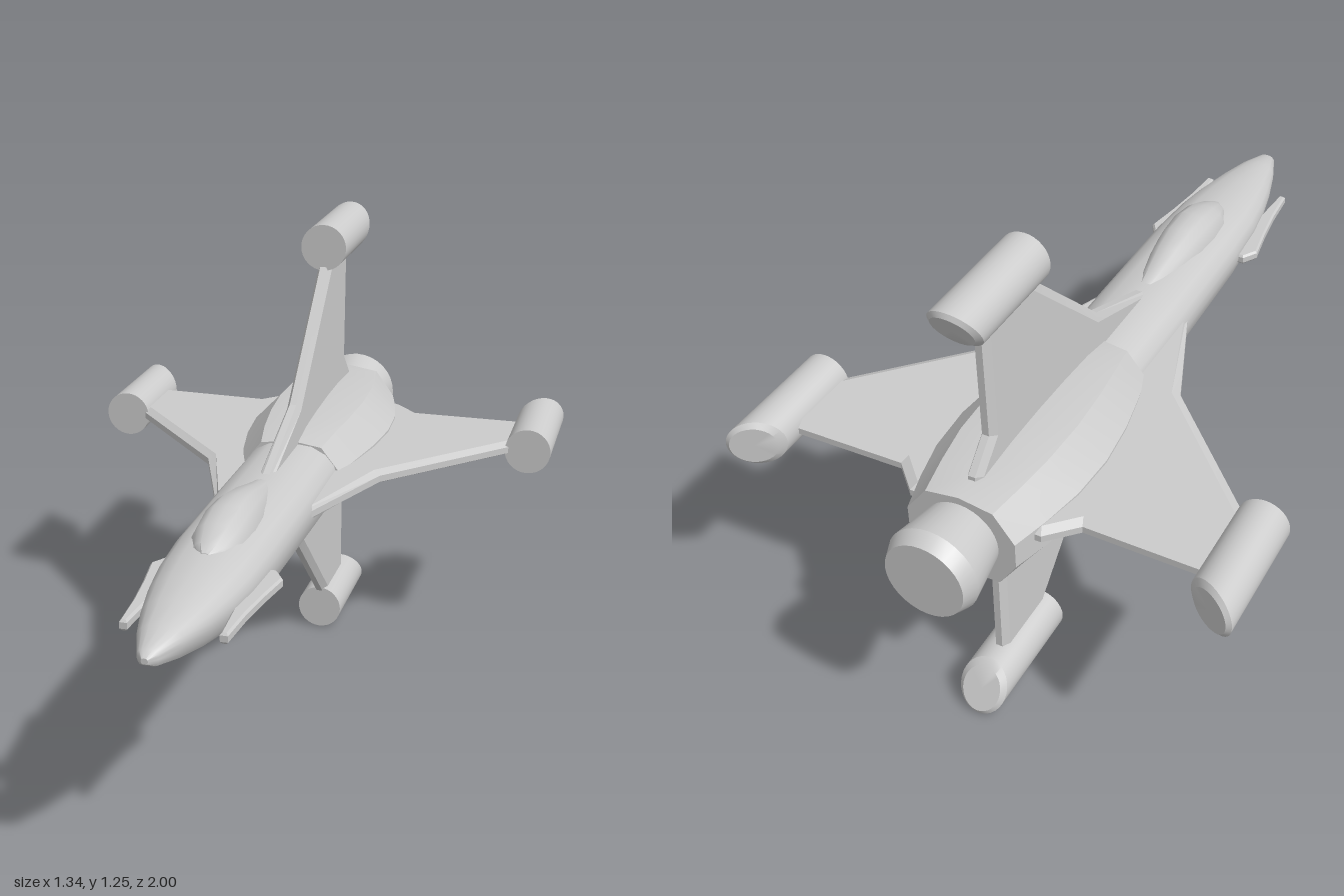
import * as THREE from 'three';
import { toCreasedNormals } from 'three/addons/utils/BufferGeometryUtils.js';

const material = new THREE.MeshStandardMaterial({ color: 0xcccccc });

function part(name, geometry, parent, crease = 0.5) {
  const mesh = new THREE.Mesh(toCreasedNormals(geometry, crease), material);
  mesh.name = name;
  parent.add(mesh);
  return mesh;
}

// Closed hull: half profile (bottom centre to top centre, unit size) swept
// through sections [z, halfWidth, top, bottom], listed front to back
function loft(half, sections) {
  const ring = [...half, ...half.slice(1, -1).reverse().map(([u, v]) => [-u, v])];
  const n = ring.length, pos = [], idx = [];
  for (const [z, w, top, bottom] of sections)
    for (const [u, v] of ring) pos.push(u * w, bottom + v * (top - bottom), z);
  for (let i = 0; i < sections.length - 1; i++)
    for (let j = 0; j < n; j++) {
      const a = i * n + j, b = i * n + (j + 1) % n;
      idx.push(a, a + n, b, b, a + n, b + n);
    }
  const last = (sections.length - 1) * n;
  for (let j = 1; j < n - 1; j++) idx.push(0, j, j + 1, last, last + j + 1, last + j);
  const g = new THREE.BufferGeometry();
  g.setAttribute('position', new THREE.Float32BufferAttribute(pos, 3));
  g.setIndex(idx);
  return g;
}

// Flat plate from an (x, z) outline with chamfered edges, centred on y = 0
function plate(outline, halfThickness, bevel, bevelThickness) {
  const shape = new THREE.Shape(outline.map(([x, z]) => new THREE.Vector2(x, z)));
  const depth = 2 * (halfThickness - bevelThickness);
  const g = new THREE.ExtrudeGeometry(shape, {
    depth, bevelEnabled: true, bevelSegments: 1,
    bevelSize: bevel, bevelOffset: -bevel, bevelThickness,
  });
  g.translate(0, 0, -depth / 2);
  return g.rotateX(Math.PI / 2);
}

// Turned solid along z: points are [radius, distance behind the front]
function turned(points, segments) {
  const g = new THREE.LatheGeometry(points.map(([r, d]) => new THREE.Vector2(r, d)), segments);
  return g.rotateX(-Math.PI / 2);
}

// Pod with a slanted rear end, longer on its outer (+x) side
function podGeometry() {
  const r = 0.065;
  const g = turned([[0, 0], [r, 0], [r, 0.26], [r * 0.8, 0.272], [0, 0.272]], 32);
  const p = g.attributes.position;
  for (let i = 0; i < p.count; i++)
    if (p.getZ(i) < -0.2) p.setZ(i, p.getZ(i) - 0.037 * (p.getX(i) / r + 1));
  return g;
}

export function createModel() {
  const model = new THREE.Group();
  model.name = 'spacecraft';

  // Slim forward hull with a flattened belly
  part('fuselage', loft(
    [[0, 0], [0.5, 0], [0.75, 0.04], [0.92, 0.22], [1, 0.45], [1, 0.6],
      [0.93, 0.73], [0.75, 0.87], [0.45, 0.97], [0, 1]],
    [[1, 0.008, 0.652, 0.638], [0.98, 0.025, 0.665, 0.625], [0.9, 0.055, 0.682, 0.605],
      [0.8, 0.083, 0.695, 0.585], [0.7, 0.104, 0.706, 0.57], [0.6, 0.118, 0.714, 0.56],
      [0.45, 0.127, 0.722, 0.548], [0.1, 0.13, 0.722, 0.535], [-0.2, 0.13, 0.722, 0.522],
      [-0.8, 0.12, 0.72, 0.52]]), model, 0.6);

  // Faceted engine housing
  part('engineHousing', loft(
    [[0, 0], [0.68, 0.02], [1, 0.32], [1, 0.62], [0.62, 0.94], [0, 1]],
    [[-0.16, 0.137, 0.728, 0.522], [-0.25, 0.163, 0.744, 0.517], [-0.37, 0.187, 0.752, 0.511],
      [-0.5, 0.2, 0.756, 0.506], [-0.63, 0.193, 0.755, 0.505], [-0.74, 0.17, 0.748, 0.507],
      [-0.84, 0.142, 0.74, 0.512]]), model, 0.4);

  const nozzle = part('engineNozzle',
    turned([[0, 0], [0.095, 0], [0.118, 0.14], [0.102, 0.18], [0, 0.18]], 32), model);
  nozzle.position.set(0, 0.622, -0.82);

  // Teardrop canopy
  part('canopy', loft(
    [[0, 0], [1, 0], [0.95, 0.45], [0.72, 0.8], [0.42, 0.97], [0, 1]],
    [[0.59, 0.02, 0.716, 0.67], [0.56, 0.048, 0.731, 0.67], [0.5, 0.069, 0.754, 0.67],
      [0.42, 0.074, 0.769, 0.67], [0.34, 0.07, 0.767, 0.67], [0.26, 0.06, 0.753, 0.67],
      [0.18, 0.045, 0.733, 0.67], [0.1, 0.025, 0.718, 0.67]]), model, 0.6);

  // Four wings with tip pods; the side pair sits slightly further out
  const wing = plate([[0.05, 0.2], [0.2, -0.18], [0.505, -0.5], [0.53, -0.5], [0.53, -0.715],
    [0.2, -0.71], [0.13, -0.78], [0.05, -0.78]], 0.02, 0.022, 0.011);
  const pod = podGeometry();
  ['leftWing', 'dorsalFin', 'rightWing', 'ventralFin'].forEach((name, i) => {
    const side = i % 2 === 0;
    const arm = new THREE.Group();
    arm.name = name;
    arm.rotation.z = i * Math.PI / 2;
    arm.position.y = side ? 0.635 : 0.625;
    const shift = side ? 0.045 : 0;
    part(name + 'Panel', wing, arm, 0.2).position.x = shift;
    part(name + 'Pod', pod, arm).position.set(0.56 + shift, 0, -0.5);
    model.add(arm);
  });

  // Small nose blades on both sides
  for (const s of [1, -1]) {
    const outline = [[0.08, 0.47], [0.14, 0.47], [0.165, 0.51], [0.148, 0.61], [0.135, 0.71],
      [0.127, 0.82], [0.108, 0.82], [0.1, 0.7]].map(([x, z]) => [s * x, z]);
    part(s > 0 ? 'leftNoseBlade' : 'rightNoseBlade',
      plate(outline, 0.014, 0.005, 0.006), model, 0.2).position.y = 0.625;
  }
  return model;
}
